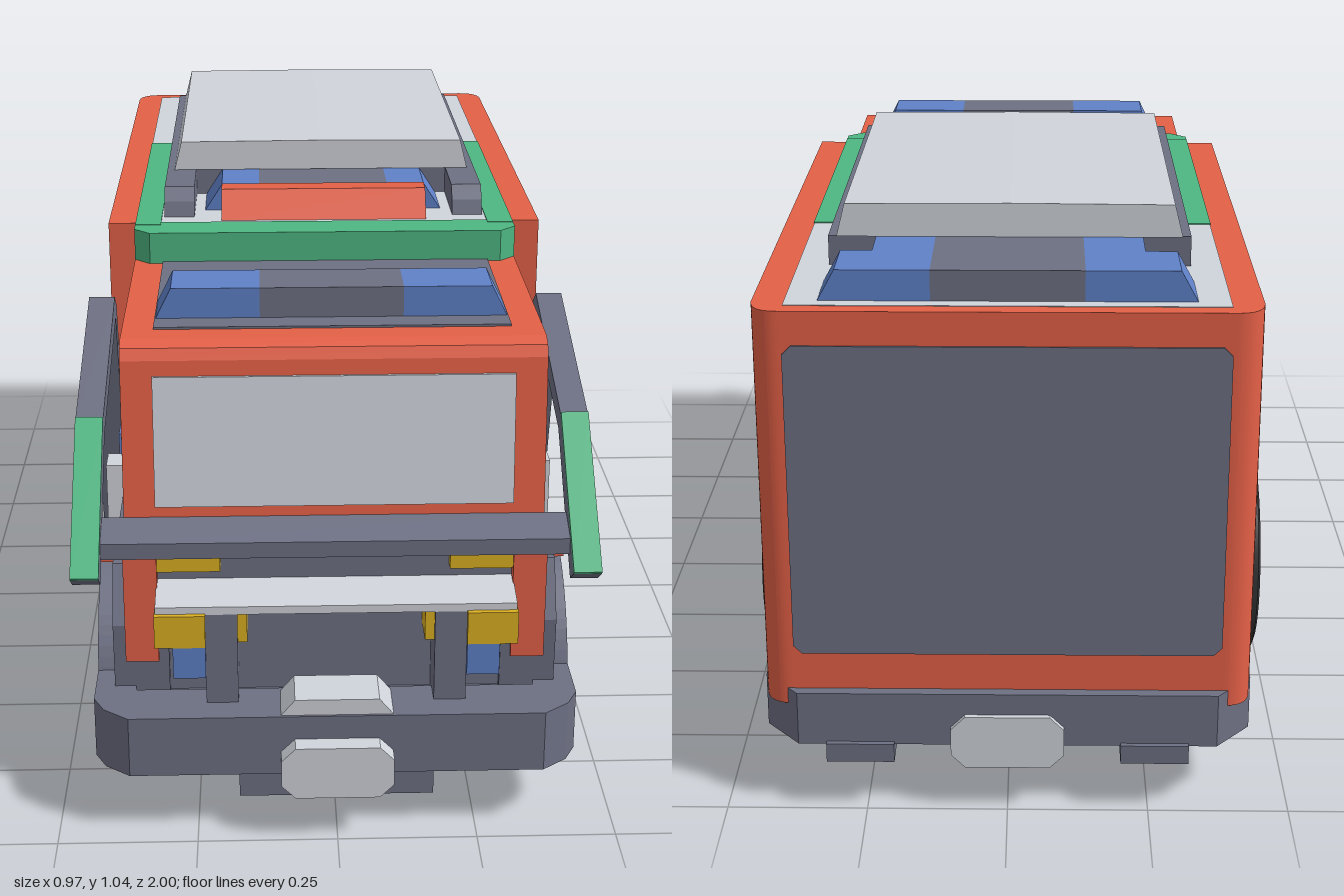
import * as THREE from 'three';
import { toCreasedNormals } from 'three/addons/utils/BufferGeometryUtils.js';

const paint = (name, color) => Object.assign(new THREE.MeshStandardMaterial({ color }), { name });
const red = paint('red', 0xe46047), grey = paint('slate grey', 0x6d7083), light = paint('light grey', 0xd0d4db);
const green = paint('green', 0x4eb782), blue = paint('blue', 0x5f81c8), yellow = paint('yellow', 0xdcb022);
const orange = paint('orange', 0xdb8b31), black = paint('tyre black', 0x303032), brown = paint('rust brown', 0xb8623f);

export function createModel() {
  const model = new THREE.Group();
  model.name = 'rescueTruck';

  const add = (name, geo, mat, parent = model) => {
    const m = new THREE.Mesh(geo, mat);
    m.name = name;
    parent.add(m);
    return m;
  };
  const toShape = (pts) => pts instanceof THREE.Shape ? pts
    : new THREE.Shape(pts.map(([a, b]) => new THREE.Vector2(a, b)));
  const extrude = (pts, depth) =>
    new THREE.ExtrudeGeometry(toShape(pts), { depth, bevelEnabled: false, curveSegments: 20 });

  // box from its limits
  const box = (name, mat, x0, x1, y0, y1, z0, z1) =>
    add(name, new THREE.BoxGeometry(x1 - x0, y1 - y0, z1 - z0)
      .translate((x0 + x1) / 2, (y0 + y1) / 2, (z0 + z1) / 2), mat);
  // (z, y) outline extruded across x
  const side = (name, mat, pts, x0, x1) =>
    add(name, extrude(pts, x1 - x0).rotateY(-Math.PI / 2).translate(x1, 0, 0), mat);
  // (x, z) outline extruded up y
  const plan = (name, mat, pts, y0, y1) =>
    add(name, extrude(pts, y1 - y0).rotateX(Math.PI / 2).translate(0, y1, 0), mat);
  // (x, y) outline extruded along z
  const front = (name, mat, pts, z0, z1) => add(name, extrude(pts, z1 - z0).translate(0, 0, z0), mat);
  // mirrored pairs
  const boxes = (name, mat, x0, x1, ...r) => {
    box(name + 'Left', mat, x0, x1, ...r);
    box(name + 'Right', mat, -x1, -x0, ...r);
  };
  const sides = (name, mat, pts, x0, x1) => {
    side(name + 'Left', mat, pts, x0, x1);
    side(name + 'Right', mat, pts, -x1, -x0);
  };
  const fronts = (name, mat, pts, z0, z1) => {
    front(name + 'Left', mat, pts, z0, z1);
    front(name + 'Right', mat, pts.map(([x, y]) => [-x, y]), z0, z1);
  };
  // half-ring outline around a wheel
  const arch = (z, y, r0, r1, a0 = 0, a1 = Math.PI) => {
    const s = new THREE.Shape();
    s.absarc(z, y, r1, a0, a1, false);
    s.absarc(z, y, r0, a1, a0, true);
    return s;
  };
  // rectangle with cut corners
  const octagon = (x, y0, y1, c) => [[-x + c, y0], [x - c, y0], [x, y0 + c], [x, y1 - c],
    [x - c, y1], [-x + c, y1], [-x, y1 - c], [-x, y0 + c]];

  // rear body: core, pierced side walls, rounded rear wall
  box('bodyCore', grey, -0.376, 0.376, 0.15, 0.925, -0.93, 0.215);
  const wall = new THREE.Shape();
  wall.moveTo(0.22, 0.18).lineTo(0.22, 0.93).lineTo(-0.92, 0.93).lineTo(-0.92, 0.2).lineTo(-0.66, 0.2);
  wall.absarc(-0.41, 0.255, 0.26, Math.PI + 0.2, -0.2, true);
  wall.lineTo(-0.14, 0.18);
  const openings = [
    [[0.165, 0.24], [-0.11, 0.24], [-0.11, 0.88], [0.165, 0.88]],
    [[-0.165, 0.53], [-0.435, 0.53], [-0.435, 0.88], [-0.165, 0.88]],
    [[-0.5, 0.53], [-0.6, 0.47], [-0.77, 0.47], [-0.77, 0.88], [-0.5, 0.88]]];
  for (const o of openings) wall.holes.push(new THREE.Path(o.map(([a, b]) => new THREE.Vector2(a, b))));
  sides('bodyWall', red, wall, 0.375, 0.43);
  const rear = new THREE.Shape();
  rear.moveTo(0.43, -0.91).lineTo(-0.43, -0.91);
  rear.quadraticCurveTo(-0.43, -0.97, -0.38, -0.97).lineTo(0.38, -0.97);
  rear.quadraticCurveTo(0.43, -0.97, 0.43, -0.91);
  plan('rearWall', red, rear, 0.2, 0.93);
  front('rearDoor', grey, octagon(0.375, 0.3, 0.87, 0.015), -0.974, -0.968);

  // rolling shutters with curved slats
  const slats = [0.24, 0.41, 0.6, 0.74, 0.88];
  openings.forEach((o, i) => {
    const zs = o.map((p) => p[0]);
    const first = i === 0 ? 0 : 1;
    const pts = [[0.37, 0.88], [0.37, slats[first]]];
    for (let k = first; k < 4; k++)
      for (let j = k === first ? 0 : 1; j <= 5; j++)
        pts.push([0.407 - 0.016 * Math.sin(Math.PI * j / 5), slats[k] + (slats[k + 1] - slats[k]) * j / 5]);
    fronts('shutter' + (i + 1), grey, pts, Math.min(...zs), Math.max(...zs));
  });
  sides('rearArch', grey, arch(-0.41, 0.255, 0.262, 0.345, 0.6, Math.PI - 0.6), 0.37, 0.424);

  // roof deck with green surround
  box('roofDeck', light, -0.375, 0.375, 0.92, 0.931, -0.94, 0.225);
  boxes('roofEdge', green, 0.325, 0.376, 0.92, 0.933, -0.44, 0.24);
  plan('roofFront', green, [[-0.376, 0.221], [0.376, 0.221], [0.376, 0.27], [0.345, 0.3], [-0.345, 0.3], [-0.376, 0.27]],
    0.86, 0.932);
  boxes('greenPost', green, 0.33, 0.376, 0.3, 0.93, 0.21, 0.25);

  // roof equipment
  front('roofCover', light, [[-0.305, 0.985], [0.305, 0.985], [0.29, 1.044], [0, 1.046], [-0.29, 1.044]], -0.715, 0.01);
  box('coverBase', grey, -0.27, 0.27, 0.93, 0.986, -0.71, 0);
  sides('roofRail', grey, [[0.18, 0.93], [0.17, 0.96], [0.145, 0.985], [-0.71, 0.985], [-0.71, 0.93]], 0.26, 0.32);
  side('roofHatch', red, [[0.21, 0.93], [0.17, 0.985], [0.125, 0.985], [0.125, 0.93]], -0.205, 0.205);

  // light bars: grey middle, blue ends
  const lightBar = (name, y0, y1, z0, z1, xBottom, xTop) => {
    box(name + 'Middle', grey, -0.13, 0.13, y0, y1, z0, z1);
    fronts(name + 'Lamp', blue, [[0.13, y0], [xBottom, y0], [xTop, y1], [0.13, y1]], z0, z1);
  };
  lightBar('cabLightBar', 0.87, 0.93, 0.54, 0.65, 0.32, 0.29);
  lightBar('hatchLightBar', 0.93, 0.984, 0.0, 0.13, 0.24, 0.205);
  lightBar('rearLightBar', 0.93, 0.985, -0.915, -0.8, 0.32, 0.29);
  lightBar('rearInnerBar', 0.93, 0.985, -0.8, -0.715, 0.235, 0.235);

  // cab
  side('cab', red, [[0.25, 0.44], [0.82, 0.44], [0.82, 0.46], [0.782, 0.84], [0.772, 0.86], [0.75, 0.87], [0.25, 0.87]],
    -0.376, 0.376);
  box('cabRoofPanel', grey, -0.32, 0.32, 0.868, 0.874, 0.3, 0.7);
  side('windscreen', light, [[0.805, 0.575], [0.814, 0.575], [0.790, 0.812], [0.781, 0.812]], -0.32, 0.32);
  sides('sideWindow', light, [[0.53, 0.58], [0.74, 0.58], [0.725, 0.79], [0.70, 0.82], [0.53, 0.82]], 0.373, 0.381);
  side('visorBar', grey, [[0.79, 0.5], [0.79, 0.53], [0.81, 0.555], [0.87, 0.53], [0.87, 0.5]], -0.415, 0.415);

  // folding arms
  sides('arm', grey, [[0.92, 0.485], [0.70, 0.7], [0.325, 0.81], [0.285, 0.78], [0.15, 0.26], [0.185, 0.24],
    [0.315, 0.765], [0.68, 0.665], [0.885, 0.46]], 0.415, 0.465);
  sides('armTop', green, [[0.92, 0.485], [0.926, 0.491], [0.704, 0.706], [0.70, 0.7]], 0.415, 0.465);

  // grille and headlights
  box('grille', grey, -0.32, 0.32, 0.2, 0.5, 0.3, 0.83);
  side('bonnetLip', light, [[0.82, 0.43], [0.91, 0.41], [0.91, 0.425], [0.82, 0.445]], -0.32, 0.32);
  boxes('upperLamp', yellow, 0.205, 0.322, 0.465, 0.5, 0.8, 0.85);
  boxes('headlight', yellow, 0.232, 0.322, 0.35, 0.412, 0.8, 0.92);
  boxes('foglight', blue, 0.232, 0.29, 0.29, 0.35, 0.8, 0.92);
  boxes('grilleStrut', grey, 0.175, 0.232, 0.2, 0.41, 0.82, 0.91);
  boxes('grilleMarker', yellow, 0.158, 0.175, 0.35, 0.41, 0.82, 0.9);
  boxes('cornerPanel', red, 0.318, 0.378, 0.29, 0.5, 0.74, 0.855);

  // equipment beside the cab
  boxes('redBlock', red, 0.37, 0.434, 0.41, 0.47, 0.63, 0.69);
  boxes('lightBlock', light, 0.37, 0.43, 0.41, 0.525, 0.44, 0.5);
  boxes('blueBlock', blue, 0.36, 0.415, 0.46, 0.53, 0.285, 0.35);
  boxes('greenBlock', green, 0.35, 0.405, 0.4, 0.48, 0.23, 0.27);
  boxes('orangeBlock', orange, 0.35, 0.41, 0.41, 0.46, 0.27, 0.34);
  boxes('cabPost', grey, 0.3, 0.36, 0.2, 0.47, 0.22, 0.42);

  // front fenders
  const fender = new THREE.Shape();
  fender.moveTo(0.84, 0.16).lineTo(0.85, 0.36).lineTo(0.80, 0.46).lineTo(0.37, 0.46).lineTo(0.30, 0.36).lineTo(0.32, 0.16);
  fender.lineTo(0.37, 0.16).absarc(0.55, 0.165, 0.18, Math.PI, 0, true);
  sides('fender', grey, fender, 0.3, 0.4);
  sides('fenderArch', grey, arch(0.55, 0.165, 0.175, 0.245), 0.395, 0.435);

  // bumper and tow gear
  plan('bumper', grey, [[-0.435, 0.74], [-0.375, 0.74], [-0.36, 0.86], [0.36, 0.86], [0.375, 0.74], [0.435, 0.74],
    [0.435, 0.89], [0.415, 0.93], [0.37, 0.965], [-0.37, 0.965], [-0.415, 0.93], [-0.435, 0.89]], 0.12, 0.235);
  front('frontPlate', light, octagon(0.1, 0.09, 0.19, 0.025), 0.96, 1);
  front('bumperBadge', light, [[-0.1, 0.235], [0.1, 0.235], [0.075, 0.265], [-0.075, 0.265]], 0.87, 0.96);
  front('rearPlate', light, octagon(0.1, 0.09, 0.19, 0.025), -1, -0.975);
  box('frontTow', grey, -0.175, 0.175, 0.06, 0.13, 0.84, 0.94);
  boxes('rearTab', grey, 0.2, 0.32, 0.1, 0.135, -1, -0.92);

  // chassis
  plan('rearChassis', grey, [[-0.432, -0.73], [0.432, -0.73], [0.432, -0.92], [0.37, -0.99], [-0.37, -0.99], [-0.432, -0.92]],
    0.13, 0.23);
  box('chassisFloor', grey, -0.35, 0.35, 0.13, 0.22, -0.9, 0.87);
  boxes('sill', grey, 0.34, 0.432, 0.13, 0.18, -0.74, 0.36);
  box('frontFloor', green, -0.3, 0.3, 0.121, 0.131, 0.6, 0.84);
  box('underbody', grey, -0.165, 0.165, 0.055, 0.135, -0.66, 0.7);
  side('bellyPlate', brown, [[0.22, 0.056], [0.12, 0.012], [-0.14, 0.012], [-0.24, 0.056]], -0.18, 0.18);

  // wheels, built facing +x and turned round for the other side
  const lathe = (pts) => toCreasedNormals(
    new THREE.LatheGeometry(pts.map(([r, x]) => new THREE.Vector2(r, x)), 36).rotateZ(-Math.PI / 2), 0.6);
  const wheel = (name, z, y, R, x0, x1, rimR, rimMat, crescent) => {
    for (const s of [1, -1]) {
      const g = new THREE.Group();
      g.name = name + (s > 0 ? 'Left' : 'Right');
      g.position.set(0, y, z);
      if (s < 0) g.rotation.y = Math.PI;
      const w = x1 - x0;
      add('tyre', lathe([[0, x0], [R * 0.85, x0], [R, x0 + w * 0.25], [R, x0 + w * 0.5], [R * 0.85, x1 - 0.005],
        [R * 0.8, x1], [rimR, x1 - 0.005], [rimR, x1 - 0.05], [0, x1 - 0.05]]), black, g);
      add('rim', lathe([[rimR, x1 - 0.05], [rimR, x1 - 0.008], [rimR * 0.74, x1 - 0.012], [rimR * 0.68, x1 - 0.04],
        [rimR * 0.5, x1 - 0.03], [0, x1 - 0.03]]), rimMat, g);
      add('hub', lathe([[rimR * 0.37, x1 - 0.04], [rimR * 0.37, x1 - 0.002], [rimR * 0.3, x1 + 0.003], [0, x1 + 0.003]]), grey, g);
      if (crescent) {
        const geo = extrude(arch(0, 0, rimR * 0.74, rimR * 0.97, 1.05, Math.PI - 1.05), 0.008);
        add('rimMark', geo.rotateY(-Math.PI / 2).translate(x1 - 0.005, 0, 0), yellow, g);
      }
      model.add(g);
    }
  };
  wheel('rearWheel', -0.41, 0.255, 0.245, 0.26, 0.48, 0.172, orange, true);
  wheel('frontWheel', 0.55, 0.17, 0.165, 0.18, 0.42, 0.1, grey, false);
  wheel('innerFrontWheel', 0.38, 0.16, 0.155, 0.17, 0.34, 0.115, orange, false);
  wheel('innerMiddleWheel', 0.23, 0.16, 0.152, 0.19, 0.39, 0.105, orange, false);
  wheel('innerRearWheelA', -0.24, 0.14, 0.13, 0.17, 0.33, 0.08, orange, false);
  wheel('innerRearWheelB', -0.6, 0.14, 0.13, 0.17, 0.33, 0.08, orange, false);

  return model;
}
